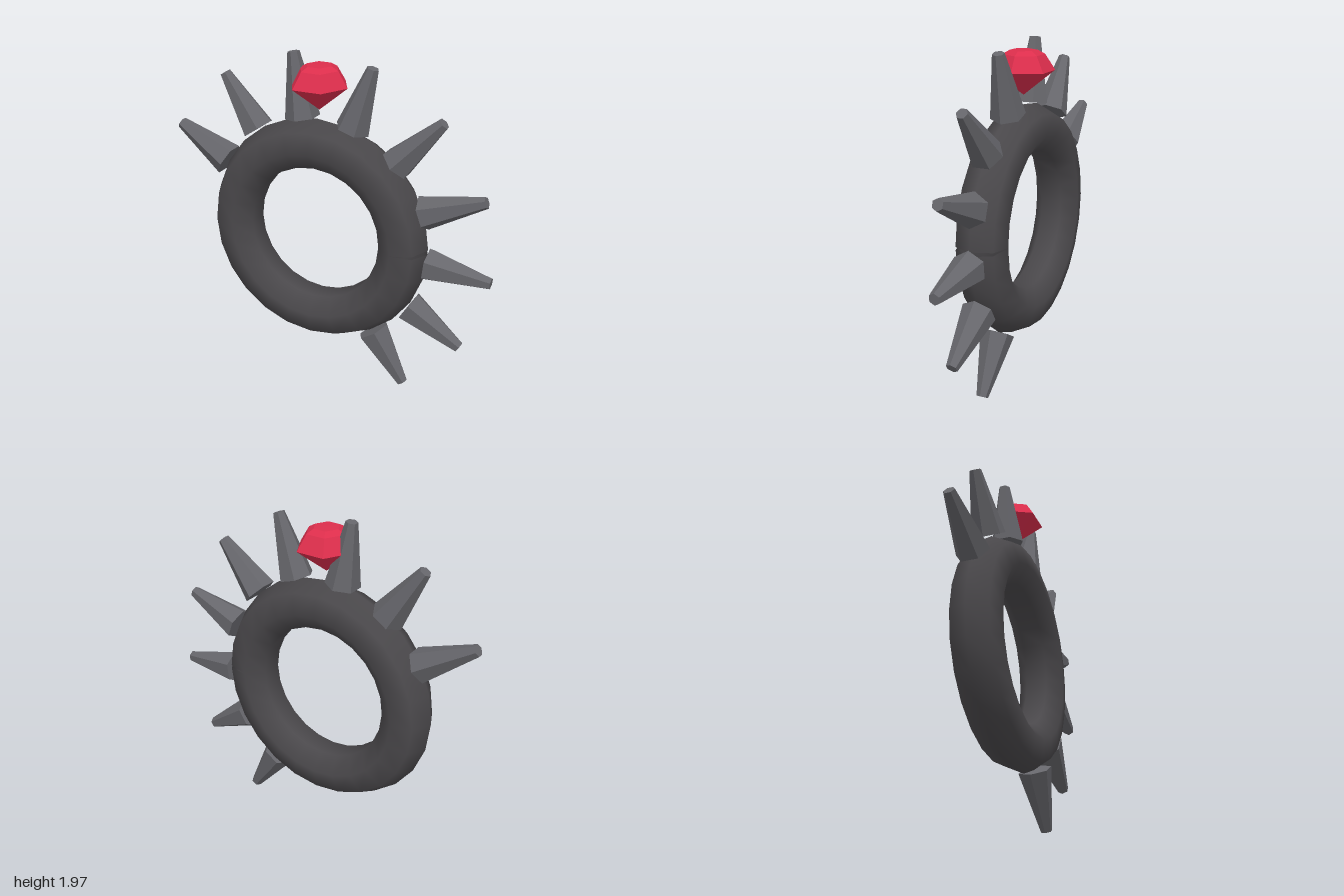
import * as THREE from 'three';

const CENTRE = new THREE.Vector3(-0.06, 0.93, 0);

function material(color, flatShading) {
  return new THREE.MeshStandardMaterial({ color, flatShading, side: THREE.DoubleSide });
}

// Band: seven-sided torus, its seam opened into a thin wedge at the outer edge
function makeBand() {
  const sides = 7, steps = 24;
  const geo = new THREE.TorusGeometry(0.54, 0.145, sides, steps);
  const pos = geo.attributes.position;
  for (let j = 0; j <= sides; j++) {
    for (const [i, dir] of [[0, 1], [steps, -1]]) {
      const k = j * (steps + 1) + i;
      const r = pos.getX(k);
      if (r > 0.55) pos.setY(k, dir * 0.09 * (r - 0.54));
    }
  }
  const band = new THREE.Mesh(geo, material(0x4a484b, false));
  band.name = 'band';
  band.position.copy(CENTRE);
  return band;
}

// Spikes: blunt six-sided cones, pointing outwards every 26 degrees
function makeSpikes() {
  const spikes = new THREE.Group();
  spikes.name = 'spikes';
  const mat = material(0x66666b, true);
  const inner = 0.69, outer = 1.062;
  for (let i = 0; i < 9; i++) {
    const angle = THREE.MathUtils.degToRad(150 - 26 * i);
    const geo = new THREE.CylinderGeometry(0.034, 0.1, outer - inner, 6);
    // alternate the turn of the facets
    geo.rotateY(i % 2 === 0 && i < 5 ? 0 : Math.PI / 6);
    geo.translate(0, (inner + outer) / 2, 0);
    const spike = new THREE.Mesh(geo, mat);
    spike.name = 'spike' + (i + 1);
    spike.position.copy(CENTRE);
    spike.rotation.z = angle - Math.PI / 2;
    spikes.add(spike);
  }
  return spikes;
}

// Gem: six-sided cut stone with pointed base and shallow crown
function makeGem() {
  const profile = [[0, -0.14], [0.17, 0], [0.115, 0.09], [0.075, 0.113], [0, 0.115]]
    .map(([r, y]) => new THREE.Vector2(r, y));
  const geo = new THREE.LatheGeometry(profile, 6, Math.PI / 2);
  const gem = new THREE.Mesh(geo, material(0xdc2e4c, true));
  gem.name = 'gem';
  gem.position.set(-0.05, 1.81, 0);
  gem.scale.z = 1.07;
  return gem;
}

export function createModel() {
  const model = new THREE.Group();
  model.name = 'spikedRing';
  model.add(makeBand(), makeSpikes(), makeGem());
  return model;
}
